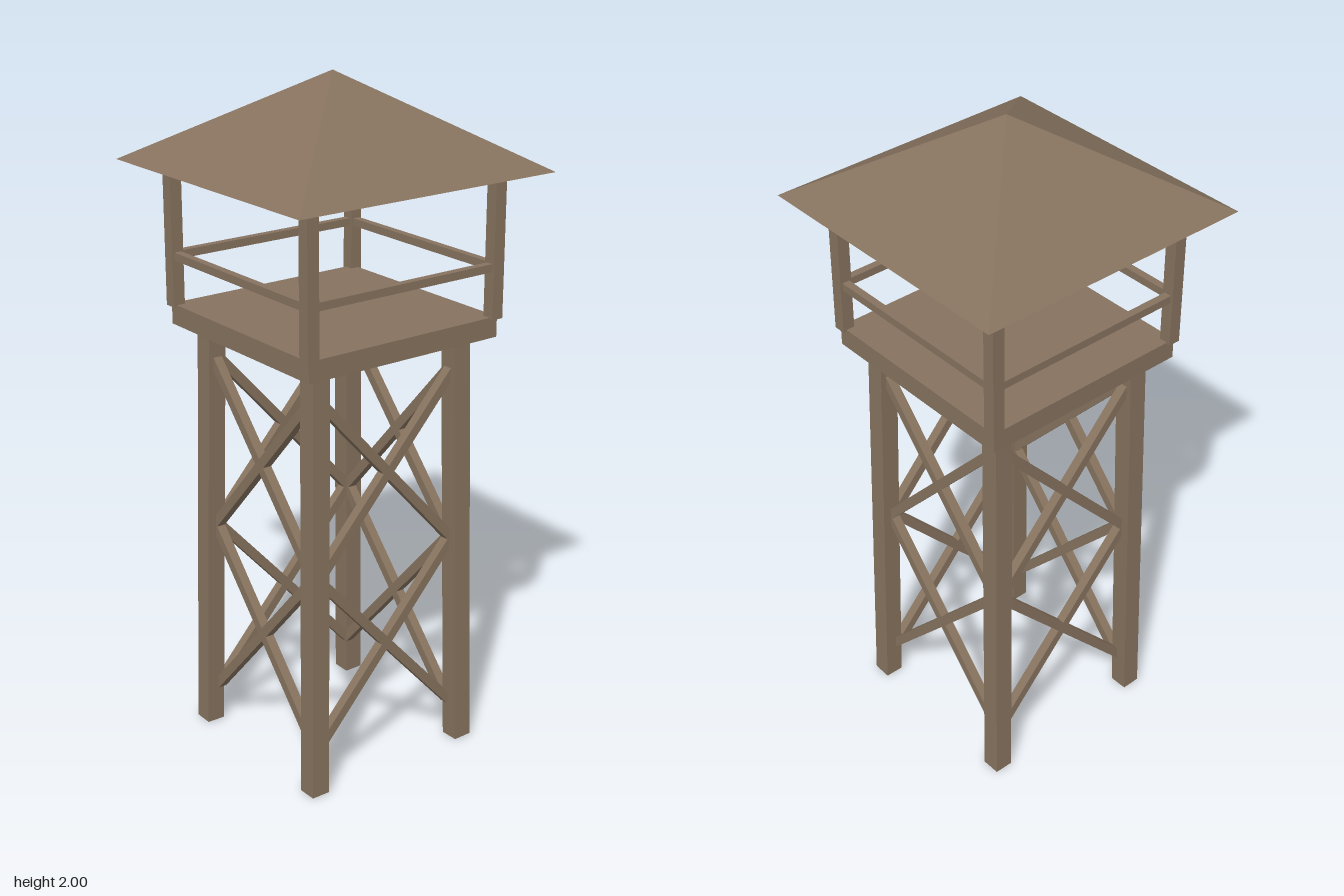
import * as THREE from 'three';

export function createModel() {
  const tower = new THREE.Group();
  tower.name = 'watchtower';
  const wood = new THREE.MeshStandardMaterial({ color: 0x86725e });
  wood.name = 'weathered wood';
  wood.flatShading = true;
  wood.side = THREE.DoubleSide; // the roof is an open shell

  function add(parent, name, geometry, x = 0, y = 0, z = 0) {
    const mesh = new THREE.Mesh(geometry, wood);
    mesh.name = name;
    mesh.position.set(x, y, z);
    parent.add(mesh);
    return mesh;
  }

  // Square beam running from point a to point b
  function beam(parent, name, a, b, size) {
    const from = new THREE.Vector3(...a), to = new THREE.Vector3(...b);
    const dir = to.clone().sub(from);
    const mesh = add(parent, name, new THREE.BoxGeometry(size, dir.length(), size));
    mesh.position.copy(from).add(to).multiplyScalar(0.5);
    mesh.quaternion.setFromUnitVectors(new THREE.Vector3(0, 1, 0), dir.normalize());
  }

  // Leaning legs and upright roof posts at the four corners
  for (const sx of [-1, 1]) {
    for (const sz of [-1, 1]) {
      beam(tower, 'leg', [sx * 0.268, 0.001, sz * 0.268], [sx * 0.245, 1.28, sz * 0.245], 0.057);
      add(tower, 'roofPost', new THREE.BoxGeometry(0.037, 0.44, 0.037), sx * 0.317, 1.545, sz * 0.317);
    }
  }

  // Cross braces and a guard rail, repeated on each side
  for (let i = 0; i < 4; i++) {
    const side = new THREE.Group();
    side.name = 'side';
    side.rotation.y = i * Math.PI / 2;
    for (const y of [0.39, 0.92]) {
      for (const s of [-1, 1]) {
        beam(side, 'crossBrace', [-s * 0.245, y - 0.27, 0.245], [s * 0.245, y + 0.27, 0.245], 0.028);
      }
    }
    add(side, 'guardRail', new THREE.BoxGeometry(0.634, 0.023, 0.023), 0, 1.473, 0.317);
    tower.add(side);
  }

  // Platform
  add(tower, 'platform', new THREE.BoxGeometry(0.65, 0.06, 0.65), 0, 1.3, 0);

  // Hollow pyramid roof
  const roof = new THREE.ConeGeometry(0.427 * Math.SQRT2, 0.26, 4, 1, true);
  roof.rotateY(Math.PI / 4);
  add(tower, 'roof', roof, 0, 1.87, 0);

  return tower;
}
